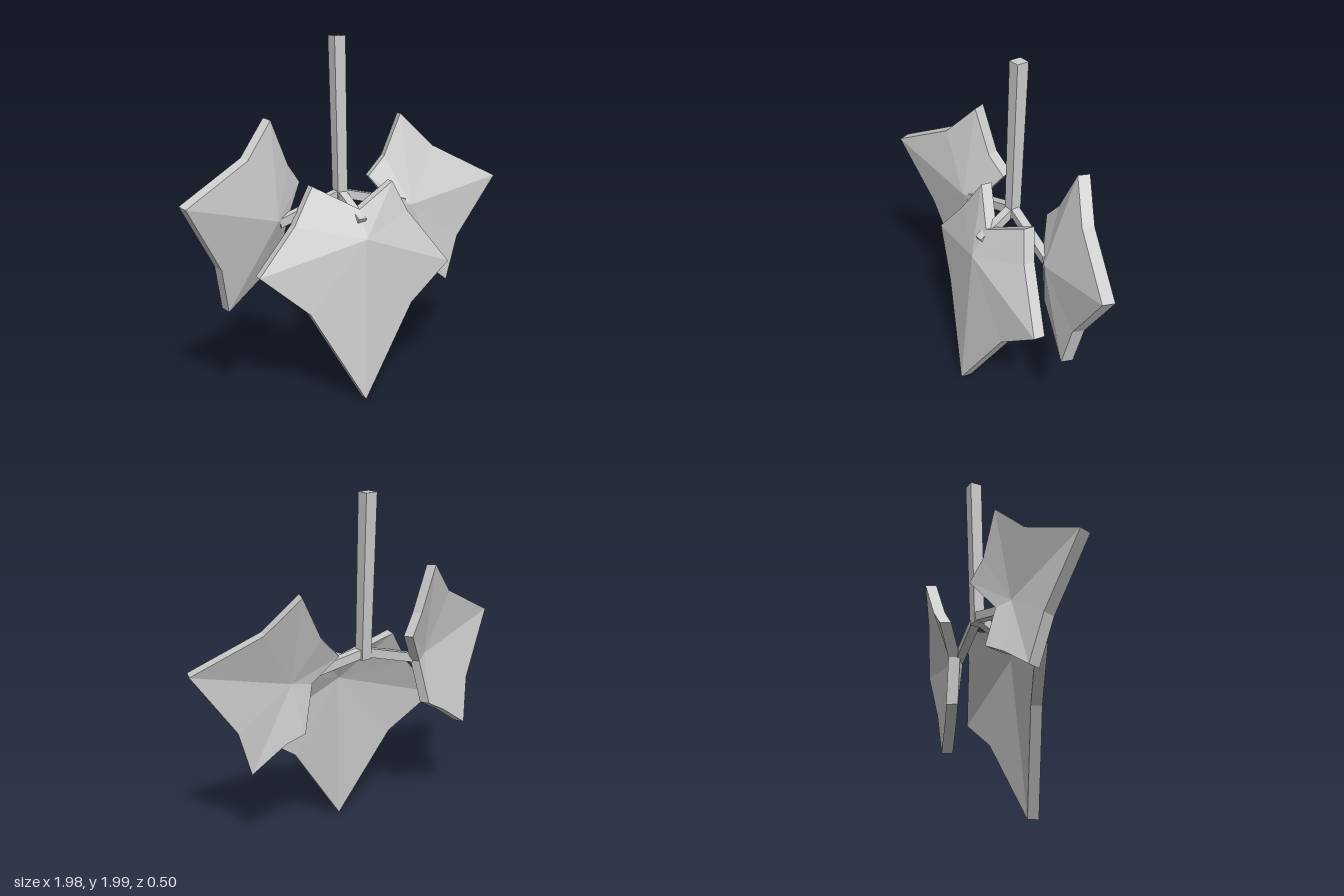
import * as THREE from 'three';

const grey = new THREE.MeshStandardMaterial({ color: 0xcccccc, flatShading: true });
grey.name = 'plain grey';

// Faceted leaf: rim points run clockwise from the front, joined to a raised centre; offset gives thickness
function makeLeaf(name, centre, rim, offset) {
  const pos = [];
  const back = (p) => p.map((v, i) => v + offset[i]);
  const tri = (a, b, c) => pos.push(...a, ...b, ...c);
  rim.forEach((p, i) => {
    const q = rim[(i + 1) % rim.length];
    tri(centre, q, p);
    tri(back(centre), back(p), back(q));
    tri(p, q, back(q));
    tri(p, back(q), back(p));
  });
  const geo = new THREE.BufferGeometry();
  geo.setAttribute('position', new THREE.Float32BufferAttribute(pos, 3));
  geo.computeVertexNormals();
  const mesh = new THREE.Mesh(geo, grey);
  mesh.name = name;
  return mesh;
}

// Square bar between two points
function makeBar(name, from, to, size) {
  const a = new THREE.Vector3(...from), b = new THREE.Vector3(...to);
  const mesh = new THREE.Mesh(new THREE.BoxGeometry(size, size, a.distanceTo(b)), grey);
  mesh.position.copy(a).add(b).multiplyScalar(0.5);
  mesh.lookAt(b);
  mesh.name = name;
  return mesh;
}

export function createModel() {
  const group = new THREE.Group();
  group.name = 'leafSprig';

  // Upright stem, leaning back slightly towards the top
  const stemGeo = new THREE.BoxGeometry(0.07, 0.91, 0.07);
  const p = stemGeo.attributes.position;
  for (let i = 0; i < p.count; i++) {
    const top = p.getY(i) > 0;
    p.setXYZ(i, p.getX(i) * (top ? 1 : 0.88), top ? 2 : 1.09, p.getZ(i) * (top ? 1 : 0.88) - (top ? 0.13 : 0.098));
  }
  stemGeo.computeVertexNormals();
  const stem = new THREE.Mesh(stemGeo, grey);
  stem.name = 'stem';
  group.add(stem);

  // Three stalks spreading from the foot of the stem
  const hub = [0, 1.13, -0.1];
  group.add(
    makeBar('frontStalk', hub, [0, 1.005, 0.125], 0.05),
    makeBar('leftStalk', hub, [0.39, 1.04, -0.03], 0.05),
    makeBar('rightStalk', hub, [-0.4, 1.01, -0.09], 0.05)
  );

  // Leaves
  group.add(makeLeaf('frontLeaf', [0, 0.92, 0.18], [
    [0.01, 1.07, 0.09], [0.27, 1.19, 0.03], [0.34, 1.02, 0.08], [0.565, 0.71, 0.18], [0.295, 0.51, 0.195],
    [-0.045, 0.015, 0.245], [-0.325, 0.53, 0.12], [-0.575, 0.75, 0.015], [-0.35, 1.0, 0.0], [-0.215, 1.2, -0.04],
  ], [0.01, -0.003, -0.063]));

  group.add(makeLeaf('leftLeaf', [0.42, 1.03, 0.01], [
    [0.455, 1.54, -0.16], [0.62, 1.35, -0.06], [0.965, 1.16, 0.097], [0.725, 0.81, 0.06], [0.65, 0.55, 0.06],
    [0.47, 0.7, 0.0], [0.37, 0.75, -0.04], [0.33, 1.03, -0.05], [0.23, 1.19, -0.155], [0.335, 1.3, -0.15],
  ], [0.022, -0.004, -0.064]));

  group.add(makeLeaf('rightLeaf', [-0.42, 1.03, -0.05], [
    [-0.41, 1.565, -0.14], [-0.3, 1.31, -0.155], [-0.21, 1.2, -0.19], [-0.34, 1.01, -0.1], [-0.36, 0.77, -0.17],
    [-0.5, 0.69, -0.14], [-0.7, 0.55, -0.11], [-0.76, 0.81, -0.055], [-0.98, 1.18, 0.03], [-0.59, 1.375, -0.06],
  ], [-0.012, 0.008, -0.063]));

  return group;
}
